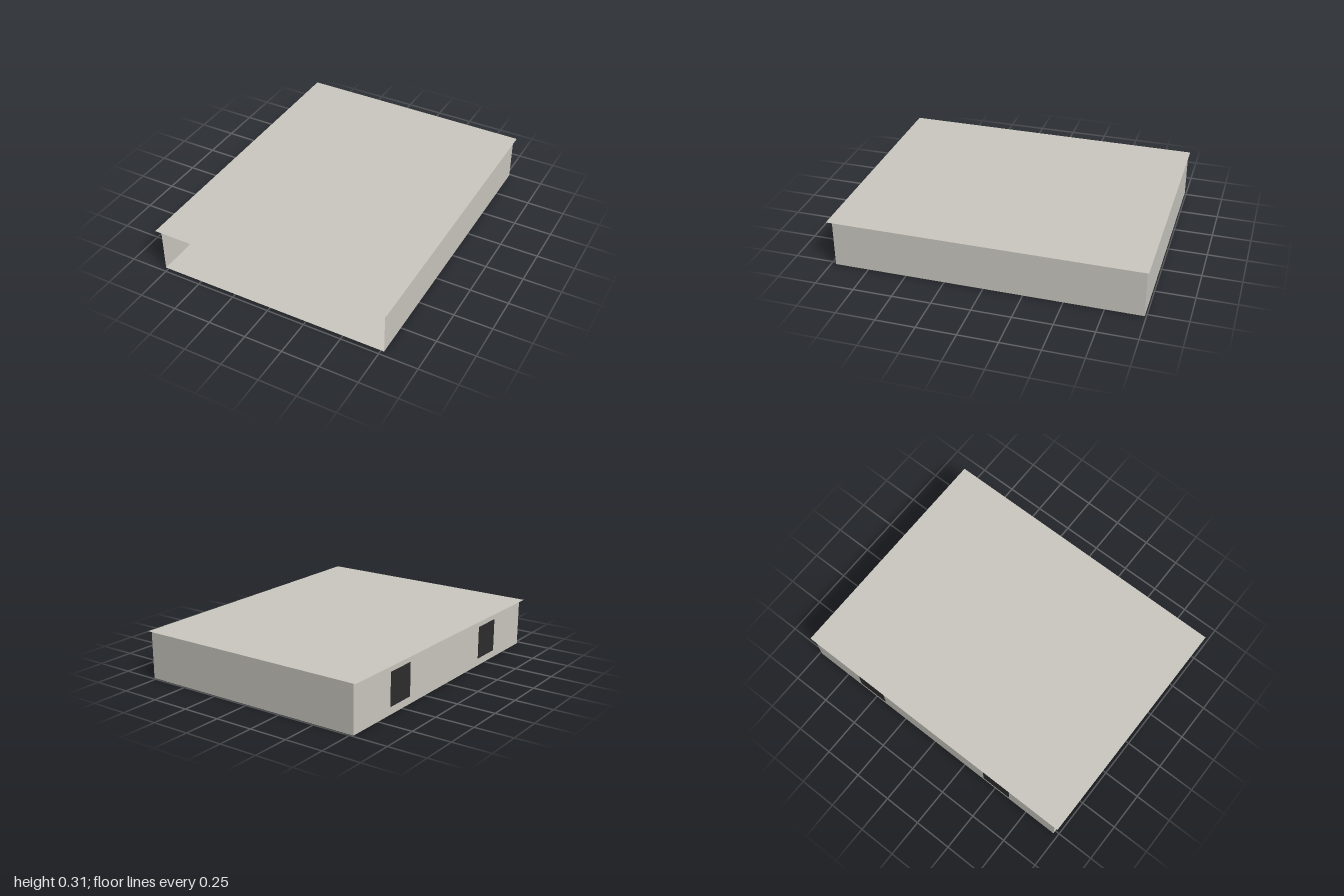
import * as THREE from 'three';

export function createModel() {
  const model = new THREE.Group();
  const shellMat = new THREE.MeshStandardMaterial({ name: 'plaster', color: 0xcbc8c0, side: THREE.DoubleSide });
  const windowMat = new THREE.MeshStandardMaterial({ name: 'darkGlass', color: 0x2d2d2d });
  const furnitureMat = new THREE.MeshStandardMaterial({ name: 'greyFurniture', color: 0x888888 });

  const add = (name, geometry, material, x, y, z) => {
    const mesh = new THREE.Mesh(geometry, material);
    mesh.name = name;
    mesh.position.set(x, y, z);
    model.add(mesh);
    return mesh;
  };
  const box = (name, material, w, h, d, x, y, z) =>
    add(name, new THREE.BoxGeometry(w, h, d), material, x, y, z);

  const halfW = 0.77, height = 0.31, back = -0.99, front = 0.97;
  const depth = front - back, midZ = (front + back) / 2;

  // Floor and overhanging roof are thin sheets
  add('floor', new THREE.PlaneGeometry(halfW * 2, depth).rotateX(-Math.PI / 2), shellMat, 0, 0, midZ);
  add('roof', new THREE.PlaneGeometry(1.58, 2).rotateX(-Math.PI / 2), shellMat, 0, height, 0);

  // Three walls, the front stays open
  add('backWall', new THREE.PlaneGeometry(halfW * 2, height).rotateY(Math.PI), shellMat, 0, height / 2, back);
  for (const side of [-1, 1]) {
    add(side > 0 ? 'leftWall' : 'rightWall',
      new THREE.PlaneGeometry(depth, height).rotateY(side * Math.PI / 2), shellMat,
      side * halfW, height / 2, midZ);
  }

  // Back windows, on the inner face of the wall
  for (const x of [-0.515, -0.21, 0.205, 0.513])
    box('backWindow', windowMat, 0.126, 0.126, 0.004, x, 0.157, back + 0.004);

  // Side windows: inside only on the left, through the wall on the right
  for (const z of [-0.52, 0.51]) {
    box('leftWindow', windowMat, 0.003, 0.215, 0.205, halfW - 0.003, 0.157, z);
    box('rightWindow', windowMat, 0.006, 0.215, 0.205, -halfW, 0.157, z);
  }

  // Seats and a low central slab
  for (const x of [-0.206, 0.203])
    box('seat', furnitureMat, 0.104, 0.083, 0.104, x, 0.0435, -0.52);
  box('lowTable', furnitureMat, 0.12, 0.011, 0.12, 0, 0.0065, 0);

  return model;
}
